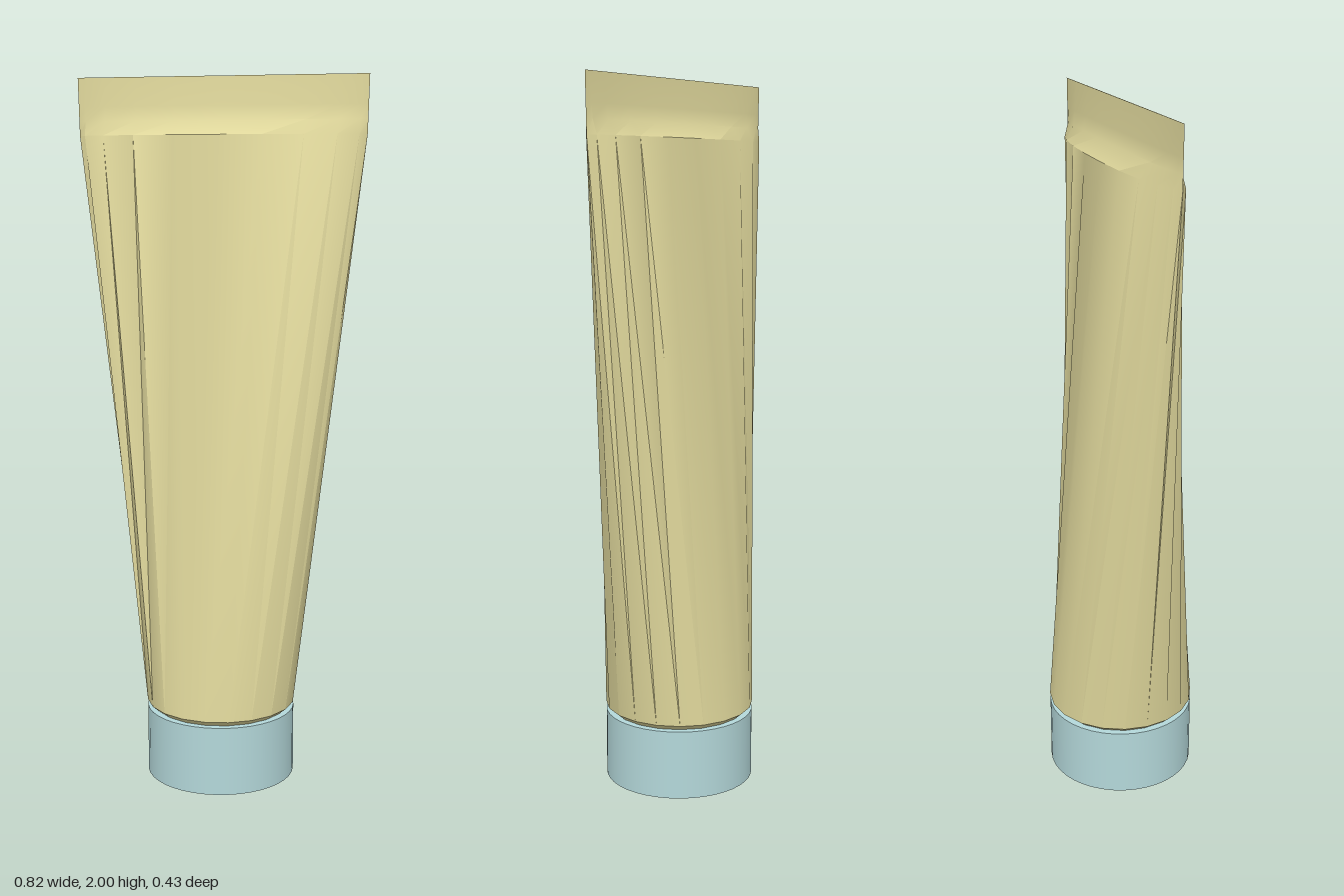
import * as THREE from 'three';
import { toCreasedNormals } from 'three/addons/utils/BufferGeometryUtils.js';

const SIDES = 20;

// Skin a stack of elliptical rings [y, halfWidth, halfDepth], closed at both ends
function loft(rings) {
  const pos = [], idx = [];
  for (const [y, rx, rz] of rings) {
    for (let j = 0; j < SIDES; j++) {
      const a = (j / SIDES) * Math.PI * 2;
      pos.push(rx * Math.sin(a), y, rz * Math.cos(a));
    }
  }
  const last = (rings.length - 1) * SIDES;
  const bottom = pos.length / 3, top = bottom + 1;
  pos.push(0, rings[0][0], 0, 0, rings[rings.length - 1][0], 0);
  for (let j = 0; j < SIDES; j++) {
    const k = (j + 1) % SIDES;
    for (let r = 0; r < last; r += SIDES) {
      idx.push(r + j, r + k, r + SIDES + k, r + j, r + SIDES + k, r + SIDES + j);
    }
    idx.push(bottom, k, j, top, last + j, last + k);
  }
  const g = new THREE.BufferGeometry();
  g.setAttribute('position', new THREE.Float32BufferAttribute(pos, 3));
  g.setIndex(idx);
  return toCreasedNormals(g, 0.6);
}

export function createModel() {
  const group = new THREE.Group();
  group.name = 'squeezeTube';

  const tubeMat = new THREE.MeshStandardMaterial({ color: 0xe0d89c });
  tubeMat.name = 'paleYellow';
  const capMat = new THREE.MeshStandardMaterial({ color: 0xb4d8da });
  capMat.name = 'paleBlue';

  // Round shoulder flattening up to the pinched seal
  const body = new THREE.Mesh(loft([
    [0.198, 0.195, 0.195],
    [0.215, 0.215, 0.215],
    [1.84, 0.407, 0.056],
    [1.88, 0.408, 0.018],
    [1.92, 0.409, 0.01],
    [2.0, 0.411, 0.001],
  ]), tubeMat);
  body.name = 'tubeBody';
  group.add(body);

  // Flat screw cap the tube stands on
  const cap = new THREE.Mesh(new THREE.CylinderGeometry(0.214, 0.214, 0.198, 40), capMat);
  cap.name = 'cap';
  cap.position.y = 0.099;
  group.add(cap);

  return group;
}
